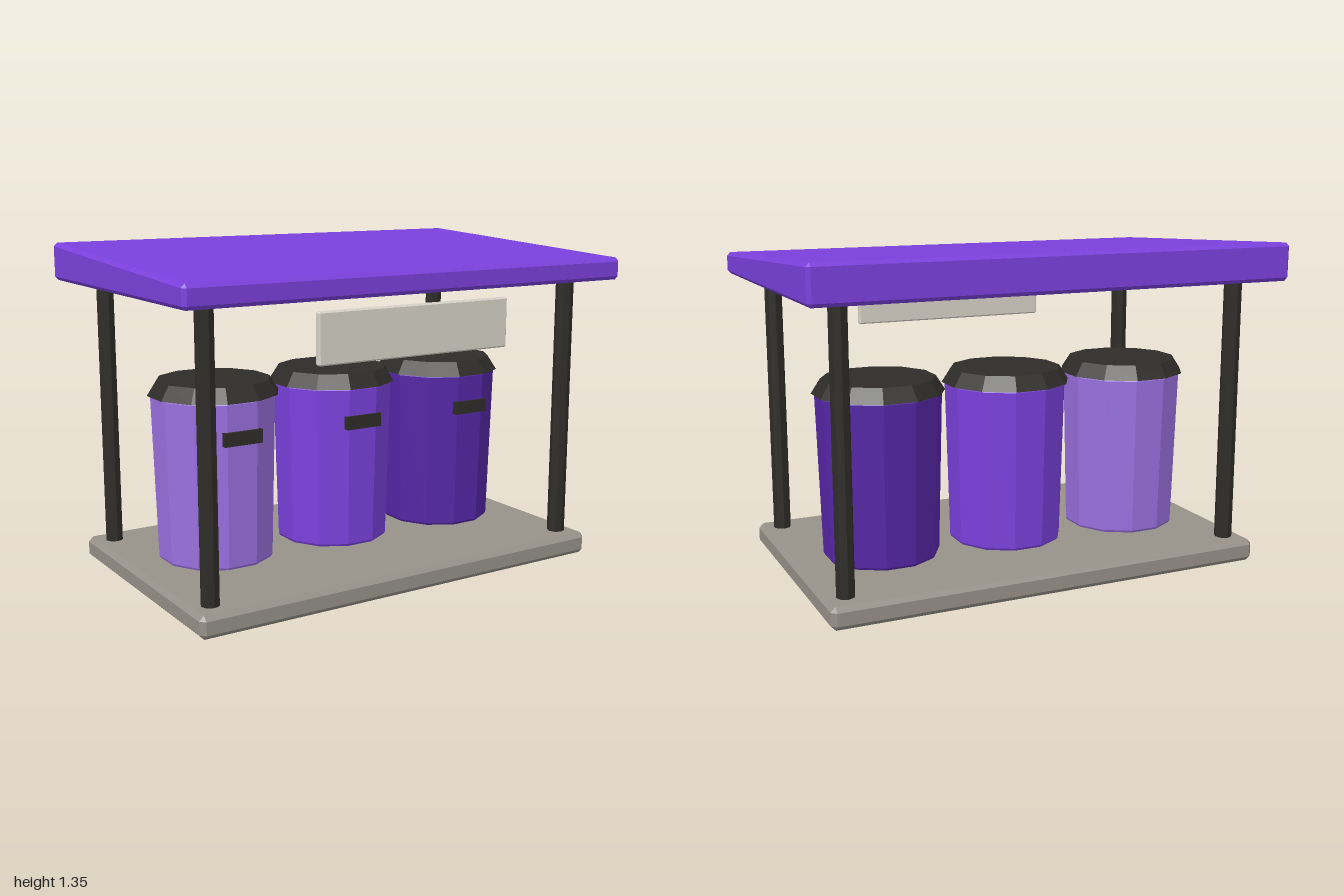
import * as THREE from 'three';
import { ConvexGeometry } from 'three/addons/geometries/ConvexGeometry.js';

const material = (color) => new THREE.MeshStandardMaterial({ color, flatShading: true });
const violet = material(0x7a40dc);
const lilac = material(0x9a70e0);
const indigo = material(0x5526a6);
const charcoal = material(0x2e2c28);
const stone = material(0x969188);
const cream = material(0xd6d2c8);

function add(parent, name, geometry, mat, x = 0, y = 0, z = 0) {
  const mesh = new THREE.Mesh(geometry, mat);
  mesh.name = name;
  mesh.position.set(x, y, z);
  parent.add(mesh);
  return mesh;
}

// Box with every edge chamfered by c; the top can slope along z
function chamferBox(w, h, d, c, slope = 0) {
  const points = [];
  for (const sx of [-1, 1]) for (const sy of [-1, 1]) for (const sz of [-1, 1]) {
    for (let axis = 0; axis < 3; axis++) {
      const inset = [c, c, c];
      inset[axis] = 0;
      const p = new THREE.Vector3(
        sx * (w / 2 - inset[0]), sy * (h / 2 - inset[1]), sz * (d / 2 - inset[2]));
      if (sy > 0) p.y += slope * p.z;
      points.push(p);
    }
  }
  return new ConvexGeometry(points);
}

// Twelve-sided turned form with flats facing front and sides
function turned(profile) {
  const points = profile.map(([r, y]) => new THREE.Vector2(r, y));
  const geometry = new THREE.LatheGeometry(points, 12, Math.PI / 12).toNonIndexed();
  geometry.computeVertexNormals();
  return geometry;
}

export function createModel() {
  const model = new THREE.Group();
  model.name = 'binShelter';

  // Base slab, sloping roof and sign board
  add(model, 'base', chamferBox(1.86, 0.093, 1.12, 0.02), stone, 0, 0.0465, 0);
  add(model, 'roof', chamferBox(2, 0.123, 1.25, 0.015, -0.052), violet, 0, 1.2615, 0);
  add(model, 'signBoard', chamferBox(0.88, 0.2, 0.028, 0.006), cream, 0, 1.055, 0.555);

  // Corner posts
  const postGeometry = new THREE.CylinderGeometry(0.037, 0.037, 1.13, 8);
  for (const x of [-0.845, 0.845]) for (const z of [-0.457, 0.46]) {
    add(model, 'post', postGeometry, charcoal, x, 0.65, z);
  }

  // Row of three bins
  const body = turned([[0, 0.098], [0.232, 0.098], [0.238, 0.108], [0.256, 0.767], [0.25, 0.777], [0, 0.777]]);
  const lid = turned([[0, 0.773], [0.269, 0.773], [0.231, 0.832], [0, 0.832]]);
  const handle = new THREE.BoxGeometry(0.166, 0.055, 0.03);
  [lilac, violet, indigo].forEach((color, i) => {
    const bin = new THREE.Group();
    bin.name = 'bin';
    bin.position.set((i - 1) * 0.56, 0, -0.05);
    add(bin, 'binBody', body, color);
    add(bin, 'binLid', lid, charcoal);
    add(bin, 'binHandle', handle, charcoal, 0, 0.633, 0.242);
    model.add(bin);
  });

  return model;
}
